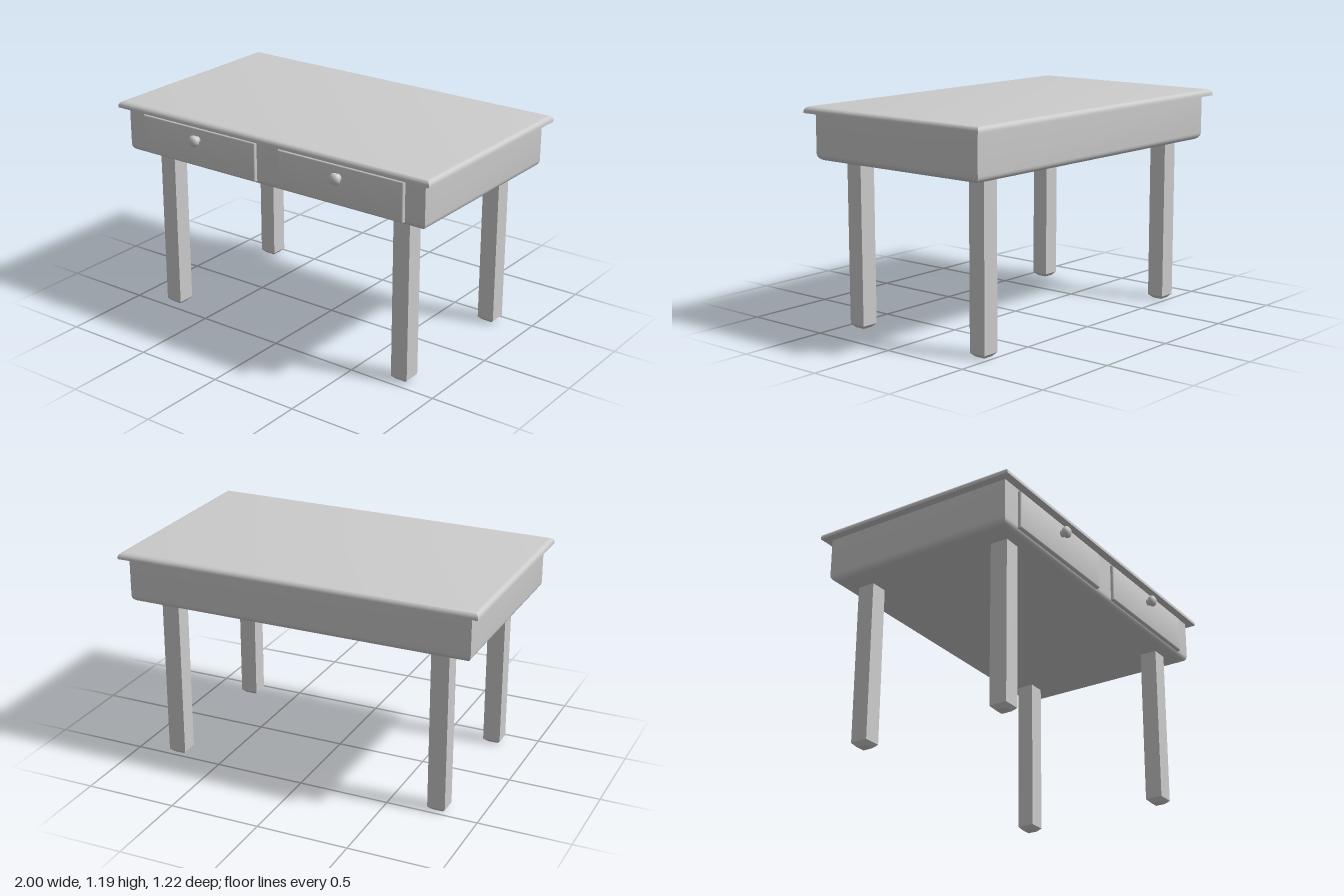
import * as THREE from 'three';
import { toCreasedNormals } from 'three/addons/utils/BufferGeometryUtils.js';

const material = new THREE.MeshStandardMaterial({ color: 0xcccccc });

// Solid with a rectangular plan, built from [height, inset] sections, bottom to top
function stackedBox(width, depth, sections) {
  const positions = [];
  const index = [];
  for (const [y, inset] of sections) {
    const x = width / 2 - inset;
    const z = depth / 2 - inset;
    positions.push(-x, y, z, x, y, z, x, y, -z, -x, y, -z);
  }
  for (let s = 0; s < sections.length - 1; s++) {
    for (let i = 0; i < 4; i++) {
      const a = s * 4 + i;
      const b = s * 4 + (i + 1) % 4;
      index.push(a, b, b + 4, a, b + 4, a + 4);
    }
  }
  const t = (sections.length - 1) * 4;
  index.push(0, 2, 1, 0, 3, 2, t, t + 1, t + 2, t, t + 2, t + 3);
  const geometry = new THREE.BufferGeometry();
  geometry.setAttribute('position', new THREE.Float32BufferAttribute(positions, 3));
  geometry.setIndex(index);
  return toCreasedNormals(geometry, 0.6);
}

// Quarter-round edge ending at height y; direction 1 rounds the top, -1 the bottom
function roundedEdge(y, radius, direction, steps = 6) {
  const edge = [];
  for (let i = 0; i <= steps; i++) {
    const a = (i / steps) * Math.PI / 2;
    edge.push([y - direction * radius * (1 - Math.sin(a)), radius * (1 - Math.cos(a))]);
  }
  return direction > 0 ? edge : edge.reverse();
}

export function createModel() {
  const group = new THREE.Group();
  const add = (name, geometry, x, y, z, parent = group) => {
    const mesh = new THREE.Mesh(geometry, material);
    mesh.name = name;
    mesh.position.set(x, y, z);
    parent.add(mesh);
    return mesh;
  };

  // Table top with rounded upper edge
  add('tableTop', stackedBox(2, 1.193, [[1.155, 0], ...roundedEdge(1.19, 0.027, 1)]), 0, 0, -0.0135);

  // Apron box with rounded lower edge
  add('apron', stackedBox(1.91, 1.107, [...roundedEdge(0.907, 0.036, -1), [1.157, 0]]), 0, 0, -0.0135);

  // Square legs with tapered feet
  const leg = stackedBox(0.097, 0.097, [[0, 0.02], [0.02, 0], [0.92, 0]]);
  for (const x of [-0.768, 0.768]) {
    for (const z of [0.41, -0.436]) add('leg', leg, x, 0, z);
  }

  // Drawer fronts and turned knobs
  const front = stackedBox(0.765, 0.21, [[-0.01, 0], ...roundedEdge(0.02, 0.01, 1, 4)]);
  const profile = [[0.02, 0], [0.019, 0.02]];
  for (let i = 2; i <= 12; i++) {
    const a = -Math.PI / 2 + (i / 12) * Math.PI;
    profile.push([0.032 * Math.cos(a), 0.032 + 0.023 * Math.sin(a)]);
  }
  const knob = new THREE.LatheGeometry(profile.map(([r, y]) => new THREE.Vector2(Math.max(r, 0), y)), 24);
  for (const side of [-1, 1]) {
    const drawer = new THREE.Group();
    drawer.name = 'drawer';
    drawer.position.set(side * 0.457, 1.035, 0.54);
    add('drawerFront', front, 0, 0, 0, drawer).rotation.x = Math.PI / 2;
    add('knob', knob, 0, 0.043, 0.018, drawer).rotation.x = Math.PI / 2;
    group.add(drawer);
  }
  return group;
}
